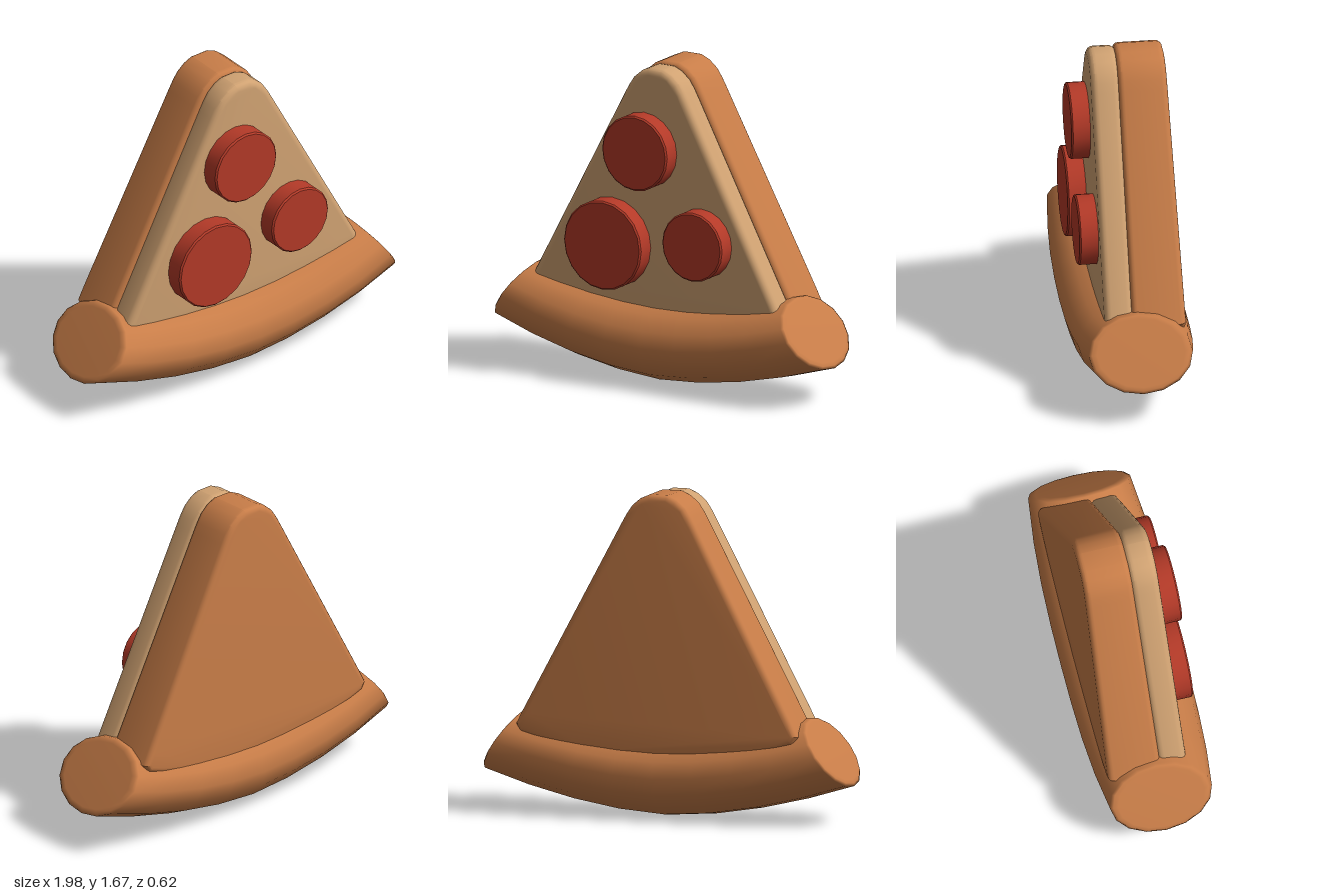
import * as THREE from 'three';
import { toCreasedNormals } from 'three/addons/utils/BufferGeometryUtils.js';

const material = (name, color) => {
  const m = new THREE.MeshStandardMaterial({ color });
  m.name = name;
  return m;
};

// Rounded wedge outline, scaled slightly for each layer
function wedgeShape(inset) {
  const side = [
    [0.05, 1.68], [0.1, 1.658], [0.145, 1.62], [0.175, 1.575], [0.2, 1.53],
    [0.73, 0.54], [0.765, 0.47], [0.74, 0.43], [0.66, 0.4], [0.35, 0.32],
  ];
  const pts = side.map(([x, y]) => new THREE.Vector2(x - inset, y - inset));
  const mirrored = pts.map((p) => new THREE.Vector2(-p.x, p.y)).reverse();
  return new THREE.Shape([...pts, ...mirrored].reverse());
}

// Bevelled wedge between two depths; taper pushes the rear face back near the crust
function layer(name, mat, zBack, zFront, bevel, inset, taper) {
  const geo = new THREE.ExtrudeGeometry(wedgeShape(inset), {
    depth: zFront - zBack - 2 * bevel, bevelEnabled: true, bevelSegments: 4,
    bevelSize: bevel, bevelThickness: bevel, bevelOffset: -bevel,
  });
  geo.translate(0, 0, zBack + bevel);
  const p = geo.attributes.position;
  const middle = (zBack + zFront) / 2;
  for (let i = 0; i < p.count; i++) {
    if (p.getZ(i) < middle) p.setZ(i, p.getZ(i) - taper * (1.68 - p.getY(i)) / 1.3);
  }
  const mesh = new THREE.Mesh(toCreasedNormals(geo, 0.45), mat);
  mesh.name = name;
  return mesh;
}

// Curved crust roll: elliptical sections lofted from end to end
function crustGeometry() {
  const sides = 16, steps = 8;
  const rings = [];
  const cap = [[0, 0.012], [0.85, 0.012], [0.94, 0.009]]; // section scale, outward shift
  cap.forEach(([s, d]) => rings.push([-1, s, -d]));
  for (let i = 0; i <= steps; i++) rings.push([-1 + (2 * i) / steps, 1, 0]);
  cap.slice().reverse().forEach(([s, d]) => rings.push([1, s, d]));

  const positions = [], index = [];
  rings.forEach(([u, scale, shift], i) => {
    const a = Math.abs(u);
    const bottom = new THREE.Vector2(0.99 * u, 0.005 + 0.195 * a ** 1.7);
    const top = new THREE.Vector2(0.745 * u, 0.45 + 0.09 * u * u);
    const mid = bottom.clone().add(top).multiplyScalar(0.5);
    const half = top.sub(mid).multiplyScalar(scale);
    const rz = (0.312 - 0.044 * a ** 3) * scale;
    for (let j = 0; j < sides; j++) {
      const t = (j / sides) * Math.PI * 2;
      positions.push(
        mid.x + half.x * Math.cos(t) + shift * 0.8,
        mid.y + half.y * Math.cos(t) + Math.abs(shift) * 0.6,
        rz * Math.sin(t));
      if (i < rings.length - 1) {
        const p = i * sides + j, q = i * sides + ((j + 1) % sides);
        index.push(p, q, p + sides, q, q + sides, p + sides);
      }
    }
  });
  const geo = new THREE.BufferGeometry();
  geo.setAttribute('position', new THREE.Float32BufferAttribute(positions, 3));
  geo.setIndex(index);
  geo.computeVertexNormals();
  return geo;
}

// Thick disc facing forward with a softened rim
function pepperoniGeometry(r) {
  const h = 0.125, b = 0.008;
  const profile = [[r, 0], [r, h - b], [r - b, h], [0, h]].map(([x, y]) => new THREE.Vector2(x, y));
  const geo = new THREE.LatheGeometry(profile, 20).rotateX(Math.PI / 2);
  return toCreasedNormals(geo, 0.5);
}

export function createModel() {
  const crustMat = material('baked crust', 0xc87d48);
  const cheeseMat = material('cheese', 0xd0a272);
  const pepperoniMat = material('pepperoni red', 0xb43a28);

  const model = new THREE.Group();
  model.name = 'pizzaSlice';

  const crust = new THREE.Mesh(crustGeometry(), crustMat);
  crust.name = 'crustRoll';
  model.add(crust);

  model.add(layer('doughBase', crustMat, -0.22, 0.03, 0.03, 0, 0.03));
  model.add(layer('cheeseLayer', cheeseMat, 0.02, 0.168, 0.035, 0.008, 0));

  // Pepperoni discs: x, y, radius
  [[-0.255, 0.725, 0.235], [-0.06, 1.24, 0.198], [0.29, 0.795, 0.182]].forEach(([x, y, r], i) => {
    const disc = new THREE.Mesh(pepperoniGeometry(r), pepperoniMat);
    disc.name = `pepperoni${i + 1}`;
    disc.position.set(x, y, 0.14);
    model.add(disc);
  });
  return model;
}
